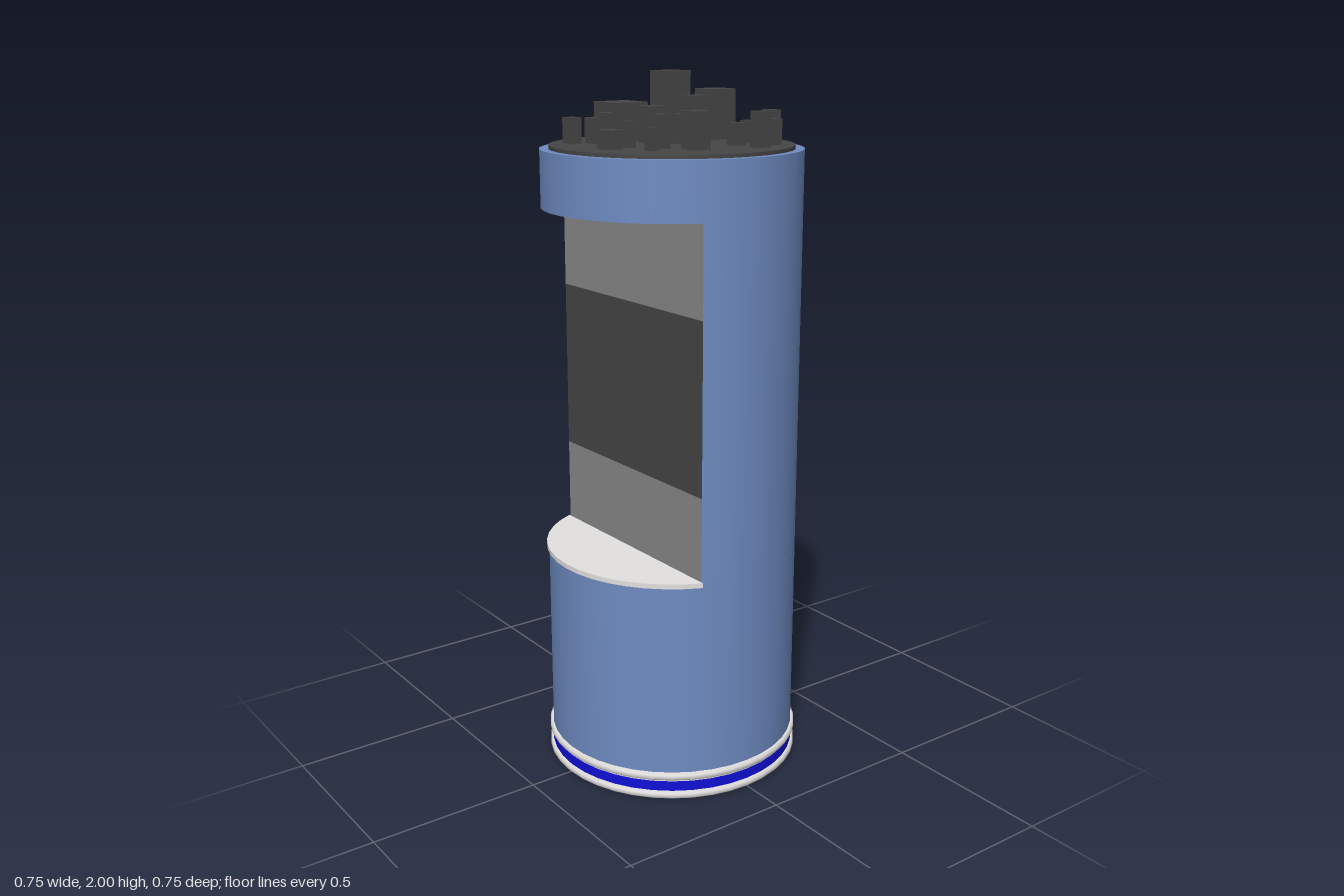
import * as THREE from 'three';

const mat = (name, color, side = THREE.FrontSide) => {
  const m = new THREE.MeshStandardMaterial({ color, side });
  m.name = name;
  return m;
};

const R = 0.365, CUT_Z = 0.145, SEG = 40;
const FLOOR = 0.65, CEILING = 1.64, TOP = 1.8;

export function createModel() {
  const group = new THREE.Group();
  const blue = mat('blue shell', 0x6f8cc2, THREE.DoubleSide);
  const dark = mat('dark grey', 0x464646);
  const grey = mat('window grey', 0x8a8a8a);
  const white = mat('off white', 0xe4e2e0);
  const glow = mat('bright blue', 0x1010d8);

  const add = (name, geo, material, x = 0, y = 0, z = 0) => {
    const mesh = new THREE.Mesh(geo, material);
    mesh.name = name;
    mesh.position.set(x, y, z);
    group.add(mesh);
    return mesh;
  };
  const drum = (name, r, y0, y1, material) =>
    add(name, new THREE.CylinderGeometry(r, r, y1 - y0, SEG), material, 0, (y0 + y1) / 2, 0);

  // Shell: full drums below and above, an open-fronted wall between them
  drum('lowerShell', R, 0.07, FLOOR, blue);
  drum('upperShell', R, CEILING, TOP, blue);
  const t = Math.acos(CUT_Z / R);
  add('middleShell',
    new THREE.CylinderGeometry(R, R, CEILING - FLOOR, 30, 1, true, t, 2 * Math.PI - 2 * t),
    blue, 0, (FLOOR + CEILING) / 2, 0);

  // Flat back of the recess in three bands
  const wallWidth = 2 * R * Math.sin(t);
  [['lowerBand', FLOOR, 0.9, grey], ['screenBand', 0.9, 1.387, dark], ['upperBand', 1.387, CEILING, grey]]
    .forEach(([name, y0, y1, m]) =>
      add(name, new THREE.PlaneGeometry(wallWidth, y1 - y0), m, 0, (y0 + y1) / 2, CUT_Z));

  // Shelf at the bottom of the recess, a circular segment
  const shelfR = 0.371, s = Math.acos(CUT_Z / shelfR);
  const pts = [];
  for (let i = 0; i <= 16; i++) {
    const a = -s + (2 * s * i) / 16;
    pts.push(new THREE.Vector2(shelfR * Math.sin(a), -shelfR * Math.cos(a)));
  }
  const shelfGeo = new THREE.ExtrudeGeometry(new THREE.Shape(pts), { depth: 0.014, bevelEnabled: false });
  shelfGeo.rotateX(-Math.PI / 2);
  add('shelf', shelfGeo, white, 0, 0.645, 0);

  // Base: two softly rounded rims around a glowing band
  const rim = (name, y0, y1) => {
    const b = 0.006, r = 0.375;
    const profile = [[0, y0], [r - b, y0], [r, y0 + b], [r, y1 - b], [r - b, y1], [0, y1]];
    add(name, new THREE.LatheGeometry(profile.map(p => new THREE.Vector2(...p)), SEG), white);
  };
  rim('bottomRim', 0, 0.023);
  drum('glowBand', 0.366, 0.02, 0.052, glow);
  drum('bandTrim', 0.364, 0.05, 0.062, white);
  rim('upperRim', 0.058, 0.081);

  // Roof disc
  drum('roofDisc', 0.34, TOP - 0.01, 1.81, dark);

  // Roof towers: x, z, width, top height
  const towers = [
    [-0.205, 0.03, 0.11, 1.915], [-0.145, -0.1, 0.083, 2.0], [-0.072, -0.205, 0.083, 1.95],
    [0.02, -0.042, 0.075, 1.89], [-0.065, 0.022, 0.057, 1.91], [0.107, 0, 0.055, 1.945],
    [0.178, 0.052, 0.057, 1.91], [0.025, 0.055, 0.037, 1.87], [0.105, 0.113, 0.038, 1.9],
    [0.035, 0.228, 0.05, 1.86], [-0.025, 0.2, 0.037, 1.9], [0.03, 0.162, 0.025, 1.88],
    [0.142, 0.17, 0.025, 1.87], [-0.14, 0.163, 0.038, 1.88], [-0.075, 0.163, 0.038, 1.87],
    [-0.177, 0.212, 0.038, 1.88], [0.14, -0.115, 0.038, 1.87], [0.23, -0.123, 0.038, 1.905],
    [0.078, -0.2, 0.026, 1.87], [0.075, -0.267, 0.052, 1.88], [0.135, -0.24, 0.038, 1.9],
    [0.185, -0.203, 0.038, 1.88],
  ];
  for (const [x, z, w, top] of towers) {
    add('roofTower', new THREE.BoxGeometry(w, top - TOP, w), dark, x, (top + TOP) / 2, z);
  }
  return group;
}
